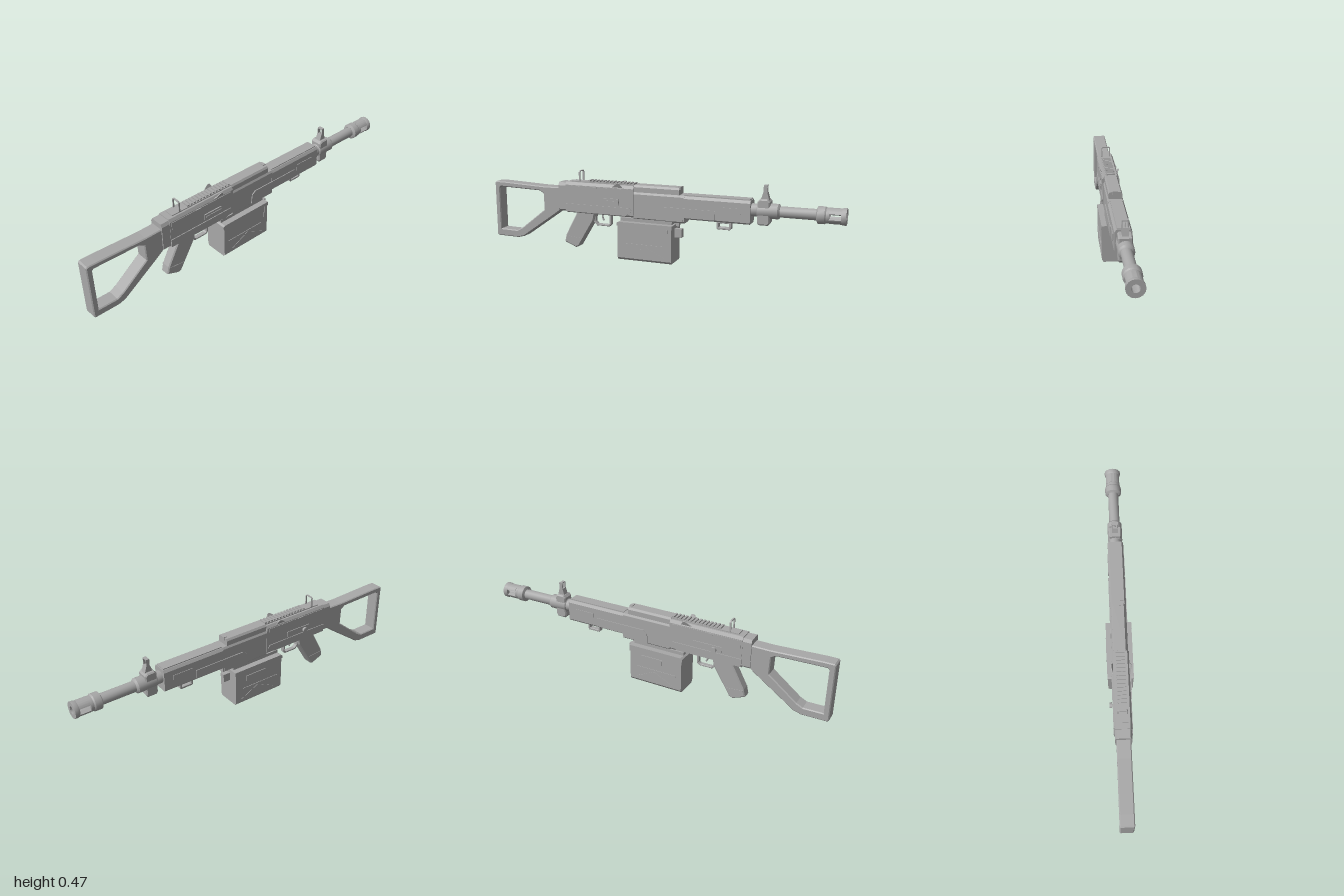
import * as THREE from 'three';
import { toCreasedNormals } from 'three/addons/utils/BufferGeometryUtils.js';

export function createModel() {
  const model = new THREE.Group();
  const metal = new THREE.MeshStandardMaterial({ color: 0xa8a8a8 });
  metal.name = 'greyMetal';
  const AXIS = 0.322; // barrel height

  function add(name, geo, x = 0, y = 0, z = 0) {
    const mesh = new THREE.Mesh(geo, metal);
    mesh.name = name;
    mesh.position.set(x, y, z);
    model.add(mesh);
    return mesh;
  }
  // box given by its limits
  const box = (name, x0, x1, y0, y1, z0, z1) => add(name,
    new THREE.BoxGeometry(x1 - x0, y1 - y0, z1 - z0), (x0 + x1) / 2, (y0 + y1) / 2, (z0 + z1) / 2);
  const toPoints = (pts) => pts.map(([x, y]) => new THREE.Vector2(x, y));

  // side outline extruded across the width, with chamfered edges
  function slab(name, pts, z0, z1, bevel = 0, hole = null) {
    const shape = new THREE.Shape(toPoints(pts));
    if (hole) shape.holes.push(new THREE.Path(toPoints(hole)));
    const geo = new THREE.ExtrudeGeometry(shape, {
      depth: z1 - z0 - 2 * bevel, bevelEnabled: bevel > 0, bevelSize: bevel,
      bevelThickness: bevel, bevelOffset: -bevel, bevelSegments: 1, curveSegments: 10,
    });
    return add(name, geo, 0, 0, z0 + bevel);
  }
  // cross-section (half width, height) mirrored and run along the length
  function beam(name, x0, x1, half) {
    const pts = [...half, ...half.slice().reverse().map(([w, y]) => [-w, y])];
    const geo = new THREE.ExtrudeGeometry(new THREE.Shape(toPoints(pts)), { depth: x1 - x0, bevelEnabled: false });
    geo.rotateY(Math.PI / 2);
    return add(name, geo, x0);
  }
  // turned part along the barrel: [radius, x]
  function turned(name, pts, sides = 16) {
    const geo = new THREE.LatheGeometry(toPoints(pts), sides);
    geo.rotateZ(-Math.PI / 2);
    return add(name, toCreasedNormals(geo, 0.6), 0, AXIS, 0);
  }
  // thin plate on both flanks
  function plates(name, pts, z, t) {
    slab(name + 'Left', pts, z, z + t);
    slab(name + 'Right', pts, -z - t, -z);
  }

  // Skeleton stock
  slab('stock',
    [[-1, 0.065], [-0.992, 0.058], [-0.86, 0.056], [-0.82, 0.066], [-0.61, 0.212], [-0.57, 0.242],
      [-0.57, 0.372], [-0.67, 0.37], [-0.94, 0.381], [-0.992, 0.381], [-1, 0.374]],
    -0.037, 0.037, 0.005,
    [[-0.97, 0.1], [-0.97, 0.345], [-0.96, 0.352], [-0.705, 0.345], [-0.68, 0.33],
      [-0.677, 0.235], [-0.83, 0.115], [-0.865, 0.098]]);

  // Receiver
  beam('receiver', -0.53, -0.12, [[0.036, 0.235], [0.045, 0.245], [0.045, 0.392], [0.036, 0.408]]);
  beam('receiverEndCap', -0.577, -0.527, [[0.033, 0.24], [0.043, 0.25], [0.043, 0.385], [0.034, 0.402]]);
  plates('receiverLowerPanel', [[-0.53, 0.242], [-0.165, 0.242], [-0.128, 0.27], [-0.14, 0.286], [-0.53, 0.286]], 0.045, 0.004);
  plates('receiverUpperPanel', [[-0.52, 0.345], [-0.24, 0.345], [-0.225, 0.36], [-0.135, 0.36], [-0.135, 0.388], [-0.52, 0.388]], 0.045, 0.003);
  box('ejectionCover', -0.315, -0.205, 0.298, 0.332, 0.043, 0.051);
  box('ejectionRib', -0.305, -0.205, 0.31, 0.32, 0.05, 0.054);
  box('chargingSlot', -0.42, -0.26, 0.295, 0.325, -0.049, -0.043);
  for (const s of [-1, 1]) {
    box('selectorStrip', -0.37, -0.335, 0.383, 0.389, s * 0.048 - 0.003, s * 0.048 + 0.003);
    // flared ears beside the rail
    const ear = slab('sightEar', [[-0.245, 0], [-0.185, 0], [-0.2, 0.024], [-0.212, 0.024]], -0.002, 0.002);
    ear.position.set(0, 0.397, s * 0.043);
    ear.rotation.x = s * 0.38;
  }

  // Charging handle
  const stem = add('chargingStem', new THREE.CylinderGeometry(0.007, 0.007, 0.02, 12), -0.38, 0.305, -0.05);
  const knob = add('chargingKnob', new THREE.CylinderGeometry(0.015, 0.015, 0.012, 14), -0.38, 0.305, -0.059);
  stem.rotation.x = knob.rotation.x = Math.PI / 2;

  // Top rail with teeth
  box('railBase', -0.5, -0.12, 0.405, 0.413, -0.026, 0.026);
  for (let i = 0; i < 14; i++) {
    const x = -0.4 + i * 0.0205;
    box('railTooth', x, x + 0.011, 0.412, 0.421, -0.023, 0.023);
  }

  // Rear sight loop
  const loop = new THREE.Shape(toPoints([[-0.026, 0.405], [0.026, 0.405], [0.026, 0.464], [0.019, 0.472], [-0.019, 0.472], [-0.026, 0.464]]));
  loop.holes.push(new THREE.Path(toPoints([[-0.021, 0.41], [-0.021, 0.462], [-0.017, 0.467], [0.017, 0.467], [0.021, 0.462], [0.021, 0.41]])));
  const loopGeo = new THREE.ExtrudeGeometry(loop, { depth: 0.008, bevelEnabled: false });
  loopGeo.rotateY(Math.PI / 2);
  add('rearSight', loopGeo, -0.456);

  // Feed cover and handguard
  beam('feedCover', -0.12, 0.14, [[0.036, 0.37], [0.036, 0.403], [0.029, 0.414]]);
  box('feedCoverLatch', 0.125, 0.143, 0.4, 0.418, -0.014, 0.014);
  beam('handguardRear', -0.12, 0.17, [[0.034, 0.225], [0.042, 0.235], [0.042, 0.365], [0.036, 0.376]]);
  beam('handguardFront', 0.165, 0.525, [[0.037, 0.25], [0.043, 0.258], [0.043, 0.36], [0.034, 0.374]]);
  box('handguardTopStrip', 0.17, 0.52, 0.372, 0.379, -0.03, 0.03);
  plates('handguardPanel', [[0.012, 0.235], [0.165, 0.235], [0.165, 0.258], [0.34, 0.258], [0.34, 0.308], [0.04, 0.308], [0.018, 0.29]], 0.042, 0.005);
  plates('handguardVent', [[0.36, 0.29], [0.46, 0.29], [0.475, 0.3], [0.475, 0.33], [0.36, 0.33]], 0.043, 0.003);

  // Sling bracket under the handguard
  slab('slingBracket', [[0.34, 0.252], [0.34, 0.212], [0.347, 0.205], [0.413, 0.205], [0.42, 0.212], [0.42, 0.252]],
    -0.014, 0.014, 0.002, [[0.352, 0.217], [0.352, 0.238], [0.408, 0.238], [0.408, 0.217]]);

  // Barrel with collars
  turned('barrel', [[0, 0.5], [0.034, 0.5], [0.034, 0.555], [0.04, 0.56], [0.04, 0.662], [0.035, 0.668],
    [0.029, 0.672], [0.029, 0.86], [0, 0.86]]);

  // Muzzle brake: rear sleeve, two bridges around the side slots, front ring
  turned('brakeRear', [[0.02, 0.862], [0.03, 0.853], [0.045, 0.86], [0.045, 0.895], [0.04, 0.902], [0.04, 0.918], [0.02, 0.918], [0.02, 0.862]]);
  turned('brakeFront', [[0.02, 0.975], [0.041, 0.975], [0.044, 0.985], [0.044, 1], [0.02, 1], [0.02, 0.975]]);
  for (const start of [0, Math.PI]) {
    const bridge = new THREE.Shape();
    bridge.absarc(0, 0, 0.0405, start + 0.38, start + Math.PI - 0.38, false);
    bridge.absarc(0, 0, 0.02, start + Math.PI - 0.38, start + 0.38, true);
    const geo = new THREE.ExtrudeGeometry(bridge, { depth: 0.059, bevelEnabled: false, curveSegments: 12 });
    geo.rotateY(Math.PI / 2);
    add('brakeBridge', toCreasedNormals(geo, 0.6), 0.917, AXIS, 0);
  }

  // Front sight: gas block, tower, hood and post
  slab('frontSightBlock', [[0.558, 0.262], [0.566, 0.25], [0.615, 0.25], [0.623, 0.262], [0.623, 0.372], [0.61, 0.385], [0.57, 0.385], [0.558, 0.372]],
    -0.034, 0.034, 0.006);
  slab('frontSightTower', [[0.572, 0.38], [0.615, 0.38], [0.604, 0.418], [0.583, 0.418]], -0.016, 0.016);
  for (const s of [-1, 1]) box('frontSightHoodSide', 0.585, 0.603, 0.415, 0.454, s * 0.0145 - 0.002, s * 0.0145 + 0.002);
  box('frontSightHoodTop', 0.585, 0.603, 0.45, 0.455, -0.0165, 0.0165);
  add('frontSightPost', new THREE.CylinderGeometry(0.001, 0.003, 0.026, 8), 0.594, 0.429, 0);

  // Pistol grip
  slab('pistolGrip', [[-0.555, 0.058], [-0.485, 0.03], [-0.465, 0.038], [-0.455, 0.055], [-0.37, 0.195], [-0.362, 0.24], [-0.47, 0.24], [-0.545, 0.1]],
    -0.028, 0.028, 0.006);
  plates('gripBand', [[-0.543, 0.09], [-0.455, 0.083], [-0.452, 0.087], [-0.543, 0.095]], 0.027, 0.003);

  // Trigger guard and trigger
  slab('triggerGuard', [[-0.375, 0.24], [-0.375, 0.183], [-0.355, 0.165], [-0.28, 0.165], [-0.267, 0.178], [-0.267, 0.24]],
    -0.012, 0.012, 0.002, [[-0.364, 0.23], [-0.278, 0.23], [-0.278, 0.182], [-0.286, 0.175], [-0.35, 0.175], [-0.364, 0.19]]);
  const trigger = new THREE.CatmullRomCurve3([[-0.325, 0.24], [-0.325, 0.215], [-0.317, 0.195]].map(([x, y]) => new THREE.Vector3(x, y, 0)));
  add('trigger', new THREE.TubeGeometry(trigger, 8, 0.005, 6, false));

  // Box magazine
  box('magazineNeck', -0.2, 0.1, 0.205, 0.23, -0.038, 0.038);
  beam('magazineBody', -0.205, 0.108, [[0.06, 0], [0.069, 0.012], [0.069, 0.192]]);
  slab('magazineLid', [[-0.21, 0.19], [0.112, 0.19], [0.112, 0.212], [-0.2, 0.212], [-0.21, 0.205]], -0.071, 0.071);
  box('magazineLatch', 0.105, 0.148, 0.14, 0.187, -0.014, 0.014);
  box('magazineCatch', 0.09, 0.13, 0.2, 0.232, -0.005, 0.005);
  plates('magazinePanel', [[-0.175, 0.09], [0.065, 0.09], [0.065, 0.096], [-0.175, 0.096]], 0.069, 0.003);
  plates('magazineRib', [[-0.15, 0.03], [-0.135, 0.03], [-0.04, 0.075], [0.055, 0.03], [0.07, 0.03], [-0.035, 0.082], [-0.045, 0.082]], 0.069, 0.002);
  box('magazineClip', 0.083, 0.089, 0.12, 0.19, 0.068, 0.073);
  box('magazineWindow', -0.09, 0.04, 0.135, 0.168, -0.073, -0.068);

  return model;
}
